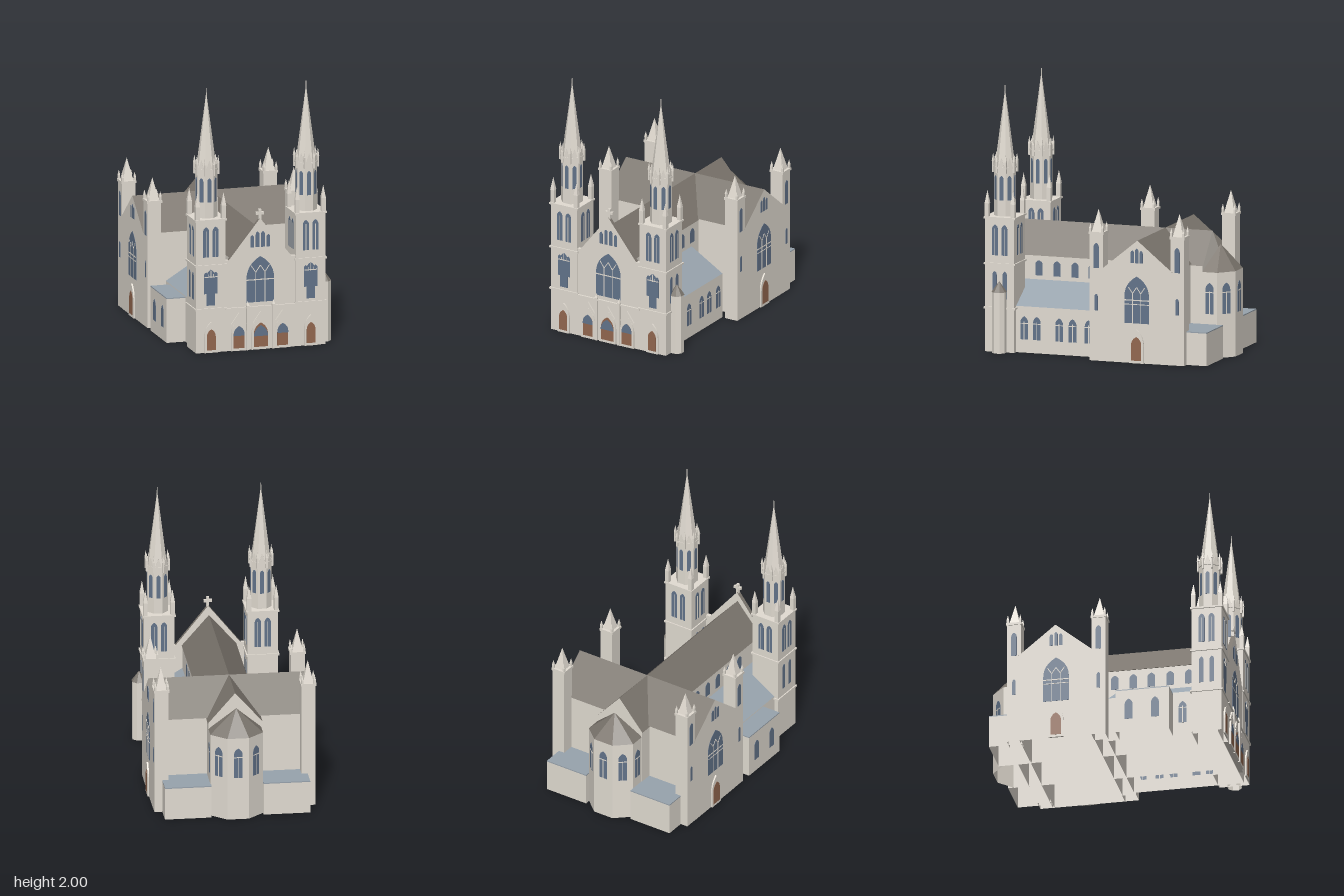
import * as THREE from 'three';
import { ConvexGeometry } from 'three/addons/geometries/ConvexGeometry.js';

const mat = (name, color) => {
  const m = new THREE.MeshStandardMaterial({ color });
  m.name = name;
  return m;
};

export function createModel() {
  const stone = mat('pale stone', 0xe2dcd2);
  stone.side = THREE.DoubleSide;
  const roof = mat('dark roof', 0x7b756d);
  const slate = mat('blue grey roof', 0x98a3ad);
  const glass = mat('window blue', 0x63748b);
  const wood = mat('door brown', 0x93674f);
  const model = new THREE.Group();
  model.name = 'church';

  const put = (parent, name, geo, material, x = 0, y = 0, z = 0) => {
    const m = new THREE.Mesh(geo, material);
    m.name = name;
    m.position.set(x, y, z);
    parent.add(m);
    return m;
  };
  const group = (parent, name, x = 0, y = 0, z = 0, ry = 0) => {
    const g = new THREE.Group();
    g.name = name;
    g.position.set(x, y, z);
    g.rotation.y = ry;
    parent.add(g);
    return g;
  };
  // Box given by its limits
  const block = (parent, name, material, x0, x1, y0, y1, z0, z1) =>
    put(parent, name, new THREE.BoxGeometry(x1 - x0, y1 - y0, z1 - z0), material,
      (x0 + x1) / 2, (y0 + y1) / 2, (z0 + z1) / 2);
  // Four standing walls without floor or ceiling
  const walls = (parent, name, x0, x1, y1, z0, z1) => {
    const { geometry } = block(parent, name, stone, x0, x1, 0, y1, z0, z1);
    const index = [...geometry.index.array];
    geometry.setIndex([...index.slice(0, 12), ...index.slice(24)]);
    geometry.clearGroups();
  };
  const extrude = (pts, depth) => new THREE.ExtrudeGeometry(
    new THREE.Shape(pts.map(p => new THREE.Vector2(...p))), { depth, bevelEnabled: false });
  // Cone or prism with flat faces turned towards the axes
  const faceted = (parent, name, material, rTop, rBottom, y0, y1, sides, x = 0, z = 0, open = false) => {
    const g = new THREE.CylinderGeometry(rTop, rBottom, y1 - y0, sides, 1, open).toNonIndexed();
    g.rotateY(Math.PI / sides);
    g.computeVertexNormals();
    return put(parent, name, g, material, x, (y0 + y1) / 2, z);
  };
  // Thin pointed-arch plate on a wall plane that faces local +z
  const arch = (parent, name, material, x, y0, y1, w, rise = 0.8, z = 0, depth = 0.002) => {
    const h = y1 - y0, r = w * rise, s = new THREE.Shape();
    s.moveTo(-w / 2, 0);
    s.lineTo(w / 2, 0);
    s.lineTo(w / 2, h - r);
    s.quadraticCurveTo(w / 2, h - r * 0.35, 0, h);
    s.quadraticCurveTo(-w / 2, h - r * 0.35, -w / 2, h - r);
    put(parent, name, new THREE.ExtrudeGeometry(s, { depth, bevelEnabled: false, curveSegments: 6 }), material, x, y0, z);
  };
  const bar = (parent, x0, x1, y0, y1) => block(parent, 'tracery', stone, x0, x1, y0, y1, 0, 0.004);
  const greatWindow = (f, y0, y1, w) => {
    const spring = y0 + (y1 - y0) * 0.48;
    arch(f, 'greatWindow', glass, 0, y0, y1, w);
    bar(f, -w / 2, w / 2, spring, spring + 0.008);
    for (const s of [-1, 1]) {
      bar(f, s * w / 6 - 0.003, s * w / 6 + 0.003, y0, spring + w * 0.28);
      // Fork at the head of each mullion
      for (const k of [-1, 1]) {
        const b = bar(f, -0.003, 0.003, -w * 0.15, w * 0.15);
        b.position.set(s * w / 6 + k * w * 0.08, spring + w * 0.4, 0.002);
        b.rotation.z = -k * 0.6;
      }
    }
  };
  const portal = (f, x, w, h) => {
    arch(f, 'portalFrame', stone, x, 0, h + 0.055, w + 0.035, 1.1, 0, 0.012);
    arch(f, 'door', wood, x, 0.02, h, w, 0.8, 0.012);
  };

  // Nave, crossing and transept
  walls(model, 'naveWalls', -0.2, 0.2, 0.69, -0.705, 0.87);
  put(model, 'naveRoof', extrude([[-0.205, 0.69], [0.205, 0.69], [0, 0.925]], 1.58), [stone, roof], 0, 0, -0.71);
  walls(model, 'transeptWalls', -0.605, 0.605, 0.7, -0.61, -0.06);
  put(model, 'transeptRoof', extrude([[-0.28, 0.698], [0.28, 0.698], [0, 0.926]], 1.21), [stone, roof], -0.605, 0, -0.337).rotation.y = Math.PI / 2;

  // Aisles with lean-to roofs, side chapel and rear rooms
  walls(model, 'aisleWalls', -0.46, 0.47, 0.35, 0.035, 0.87);
  put(model, 'aisleRoof', extrude([[-0.46, 0.35], [0.47, 0.35], [0.2, 0.51], [-0.2, 0.51]], 0.835), [stone, slate], 0, 0, 0.035);
  walls(model, 'chapelWalls', -0.605, -0.455, 0.335, 0.12, 0.525);
  block(model, 'chapelRoof', slate, -0.605, -0.455, 0.335, 0.343, 0.12, 0.525);
  for (const [x0, x1, z0] of [[-0.545, -0.195, -0.855], [0.195, 0.545, -0.865]]) {
    walls(model, 'rearRoom', x0, x1, 0.245, z0, -0.6);
    block(model, 'rearRoomRoof', slate, x0, x1, 0.245, 0.253, z0, -0.6);
  }

  // Apse: one wall and window for each side of its plan
  const plan = [[-0.195, -0.7], [-0.195, -0.82], [-0.078, -0.922], [0.084, -0.922], [0.2, -0.82], [0.2, -0.7]];
  const apse = group(model, 'apse');
  const roofPoints = plan.map(([x, z]) => new THREE.Vector3(x, 0.645, z));
  put(apse, 'apseRoof', new ConvexGeometry([...roofPoints, new THREE.Vector3(0, 0.83, -0.775)]), roof);
  for (let i = 0; i < 5; i++) {
    const [ax, az] = plan[i], [bx, bz] = plan[i + 1];
    const f = group(apse, 'apseFace', (ax + bx) / 2, 0, (az + bz) / 2, Math.atan2(bz - az, ax - bx));
    put(f, 'apseWall', new THREE.PlaneGeometry(Math.hypot(bx - ax, bz - az), 0.645), stone, 0, 0.3225);
    arch(f, 'apseWindow', glass, 0, 0.33, 0.565, 0.065);
    bar(f, -0.003, 0.003, 0.33, 0.5);
    bar(f, -0.032, 0.032, 0.49, 0.497);
  }

  // Side walls: aisle, clerestory and transept fronts
  for (const s of [-1, 1]) {
    const ry = s * Math.PI / 2;
    const upper = group(model, 'clerestory', s * 0.2, 0, 0, ry);
    for (const z of [0.593, 0.45, 0.307, 0.17, 0.03]) arch(upper, 'clerestoryWindow', glass, -s * z, 0.54, 0.655, 0.058, 0.6);
    const lower = group(model, 'aisleFace', s > 0 ? 0.47 : -0.46, 0, 0, ry);
    for (const z of s > 0 ? [0.61, 0.51, 0.333, 0.227, 0.1] : [0.6]) {
      arch(lower, 'aisleWindow', glass, -s * z, 0.1, 0.275, 0.06);
      bar(lower, -s * z - 0.003, -s * z + 0.003, 0.1, 0.235);
      bar(lower, -s * z - 0.03, -s * z + 0.03, 0.218, 0.224);
    }
    const end = group(model, 'transeptFront', s * 0.605, 0, -0.332, ry);
    greatWindow(end, 0.3, 0.655, 0.195);
    bar(end, -0.097, 0.097, 0.44, 0.446);
    portal(end, 0, 0.08, 0.2);
    for (const i of [-1, 0, 1]) arch(end, 'gableWindow', glass, i * 0.035, 0.755, i ? 0.85 : 0.865, 0.026);

    // Corner turrets of the transept
    for (const z of [-0.01, -0.652]) {
      const t = group(model, 'transeptTurret', s * 0.551, 0, z);
      walls(t, 'turretShaft', -0.053, 0.053, 0.955, -0.053, 0.053);
      block(t, 'turretCornice', stone, -0.059, 0.059, 0.953, 0.972, -0.059, 0.059);
      faceted(t, 'turretSpire', stone, 0, 0.056, 0.972, 1.14, 4);
      for (const i of [-1, 1]) for (const j of [-1, 1]) {
        block(t, 'pinnacleBase', stone, i * 0.047 - 0.008, i * 0.047 + 0.008, 0.97, 1.0, j * 0.047 - 0.008, j * 0.047 + 0.008);
        faceted(t, 'pinnacle', stone, 0, 0.012, 1.0, 1.04, 4, i * 0.047, j * 0.047);
      }
      const f = group(t, 'turretFace', s * 0.053, 0, 0, ry);
      arch(f, 'turretWindow', glass, 0, 0.7, 0.89, 0.042);
      arch(f, 'turretSlit', glass, 0, 0.38, 0.505, 0.026);
    }
  }
  const chapelFace = group(model, 'chapelFace', -0.605, 0, 0, -Math.PI / 2);
  for (const z of [0.22, 0.42]) arch(chapelFace, 'chapelWindow', glass, z, 0.1, 0.265, 0.06);

  // West front
  block(model, 'frontWall', stone, -0.265, 0.285, 0, 0.695, 0.87, 0.9);
  block(model, 'porchWall', stone, -0.265, 0.285, 0, 0.318, 0.89, 0.904);
  block(model, 'porchCornice', stone, -0.265, 0.285, 0.318, 0.33, 0.87, 0.914);
  put(model, 'frontGable', extrude([[-0.238, 0.695], [0.25, 0.695], [0.006, 1.0]], 0.03), [stone, roof], 0, 0, 0.87);
  const front = group(model, 'frontFace', 0.007, 0, 0.9);
  greatWindow(front, 0.36, 0.71, 0.215);
  for (const i of [-1.5, -0.5, 0.5, 1.5]) arch(front, 'gableWindow', glass, i * 0.042, 0.78, Math.abs(i) > 1 ? 0.875 : 0.9, 0.028);
  const porch = group(model, 'porch', 0.007, 0, 0.904);
  for (const i of [-1, 0, 1]) {
    const x = i * 0.17, w = i ? 0.085 : 0.11;
    portal(porch, x, w, i ? 0.19 : 0.205);
    arch(porch, 'doorLight', glass, x, 0.115, i ? 0.19 : 0.185, w, 0.75, 0.014);
    put(porch, 'portalGable', extrude([[-0.06, 0.205], [0.06, 0.205], [0, 0.29]], 0.011), stone, x);
  }
  for (const x of [-0.1, 0.1]) {
    block(porch, 'pier', stone, x - 0.011, x + 0.011, 0, 0.34, -0.01, 0.016);
    faceted(porch, 'pierTop', stone, 0, 0.015, 0.34, 0.375, 4, x, 0.003);
  }
  block(model, 'crossPost', stone, -0.003, 0.017, 0.98, 1.067, 0.875, 0.895);
  block(model, 'crossArm', stone, -0.024, 0.038, 1.026, 1.046, 0.875, 0.895);

  // Front towers
  for (const x of [-0.379, 0.398]) {
    const t = group(model, 'tower', x, 0, 0.789);
    const h = 0.115;
    walls(t, 'towerShaft', -h, h, 1.01, -h, h);
    for (const y of [0.325, 0.658, 1.005]) block(t, 'stringCourse', stone, -0.124, 0.124, y, y + 0.014, -0.124, 0.124);
    for (let k = 0; k < 4; k++) {
      const a = k * Math.PI / 2;
      const f = group(t, 'towerFace', Math.sin(a) * h, 0, Math.cos(a) * h, a);
      for (const i of [-1, 1]) {
        arch(f, 'belfryWindow', glass, i * 0.037, 0.73, 0.962, 0.047);
        bar(f, i * 0.037 - 0.002, i * 0.037 + 0.002, 0.73, 0.93);
        if (k === 1 || k === 3) arch(f, 'sideWindow', glass, i * 0.04, 0.4, 0.61, 0.033);
      }
      if (k === 0) {
        portal(f, 0, 0.068, 0.18);
        // Stepped three-light window with tracery
        arch(f, 'middleLight', glass, 0, 0.36, 0.635, 0.066);
        for (const i of [-1, 1]) {
          arch(f, 'sideLight', glass, i * 0.038, 0.45, 0.615, 0.03);
          bar(f, i * 0.02 - 0.002, i * 0.02 + 0.002, 0.575, 0.6);
        }
        bar(f, -0.05, 0.05, 0.575, 0.582);
        bar(f, -0.003, 0.003, 0.57, 0.63);
      }
    }
    for (const i of [-1, 1]) for (const j of [-1, 1]) {
      block(t, 'pinnacleBase', stone, i * 0.102 - 0.016, i * 0.102 + 0.016, 1.019, 1.12, j * 0.102 - 0.016, j * 0.102 + 0.016);
      faceted(t, 'pinnacle', stone, 0, 0.024, 1.12, 1.22, 4, i * 0.102, j * 0.102);
    }
    // Octagonal lantern and spire
    faceted(t, 'lantern', stone, 0.083, 0.083, 1.019, 1.385, 8);
    faceted(t, 'lanternCornice', stone, 0.092, 0.092, 1.378, 1.392, 8);
    faceted(t, 'spire', stone, 0.003, 0.076, 1.392, 1.95, 8);
    faceted(t, 'finial', stone, 0.003, 0.004, 1.94, 2.0, 8);
    for (let k = 0; k < 8; k++) {
      const a = k * Math.PI / 4, b = a + Math.PI / 8, r = 0.0767;
      const f = group(t, 'lanternFace', Math.sin(a) * r, 0, Math.cos(a) * r, a);
      arch(f, 'lanternWindow', glass, 0, 1.14, 1.325, 0.03);
      put(f, 'lanternGable', extrude([[-0.026, 1.385], [0.026, 1.385], [0, 1.46]], 0.005), stone);
      const px = Math.sin(b) * 0.089, pz = Math.cos(b) * 0.089;
      faceted(t, 'lanternPinnacleBase', stone, 0.01, 0.01, 1.345, 1.43, 4, px, pz);
      faceted(t, 'lanternPinnacle', stone, 0, 0.012, 1.43, 1.49, 4, px, pz);
    }
  }

  // Stair turret beside the left tower
  faceted(model, 'stairTurret', stone, 0.055, 0.055, 0, 0.46, 8, 0.535, 0.785, true);
  faceted(model, 'stairTurretRoof', roof, 0, 0.058, 0.46, 0.54, 8, 0.535, 0.785);
  return model;
}
